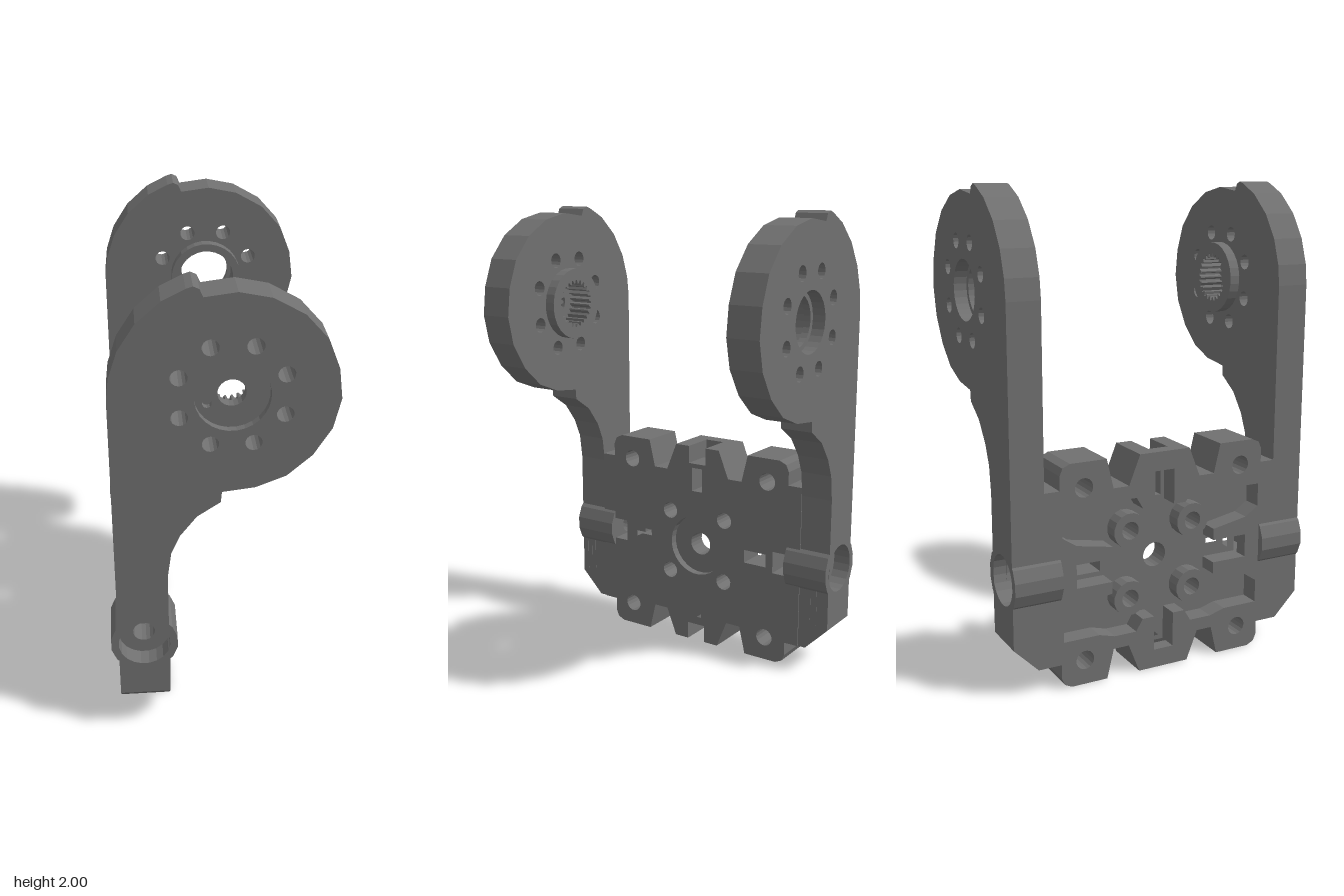
import * as THREE from 'three';

const CY = 0.47;              // height of the plate centre
const HUB = [0.04, 1.58];     // centre of the round arm end
const BORE = [-0.305, CY];    // axis of the side screw bosses

const grey = new THREE.MeshStandardMaterial({ color: 0x707070 });
grey.name = 'dark grey plastic';

const V = (p) => new THREE.Vector2(p[0], p[1]);

function circle([x, y], r, n = 20) {
  return Array.from({ length: n }, (_, i) => {
    const a = ((i + 0.5) / n) * Math.PI * 2;
    return [x + r * Math.cos(a), y + r * Math.sin(a)];
  });
}

// toothed bore of the horn socket
function spline([x, y], r0, r1, teeth) {
  return Array.from({ length: teeth * 4 }, (_, i) => {
    const a = (i / (teeth * 4)) * Math.PI * 2;
    const r = i % 4 < 2 ? r0 : r1;
    return [x + r * Math.cos(a), y + r * Math.sin(a)];
  });
}

const rect = (x0, x1, y0, y1) => [[x0, y0], [x1, y0], [x1, y1], [x0, y1]];

function extrude(outline, holes, depth) {
  const shape = new THREE.Shape(outline.map(V));
  holes.forEach((h) => shape.holes.push(new THREE.Path(h.map(V))));
  return new THREE.ExtrudeGeometry(shape, { depth, bevelEnabled: false });
}

function add(parent, name, geometry) {
  const mesh = new THREE.Mesh(geometry, grey);
  mesh.name = name;
  parent.add(mesh);
}

// slab in the xy plane between distances a and b from the middle, on side s
function slabZ(parent, name, s, a, b, outline, holes = []) {
  add(parent, name, extrude(outline, holes, b - a).translate(0, 0, s > 0 ? a : -b));
}

// slab in the zy plane (first coordinate is -z) between x = a and x = b
function slabX(parent, name, a, b, outline, holes = []) {
  add(parent, name, extrude(outline, holes, b - a).rotateY(Math.PI / 2).translate(a, 0, 0));
}

// one quarter of the plate edge, from the top notch to the side notch
const EDGE = [
  [0.045, 0.47], [0.115, 0.47], [0.165, 0.345], [0.235, 0.345], [0.265, 0.47],
  [0.425, 0.47], [0.457, 0.455], [0.47, 0.425], [0.47, 0.365], [0.535, 0.365], [0.535, 0.05],
];
// inner side of the stiffening rim behind the plate
const RIM = [
  [0.24, 0.05], [0.24, 0.1], [0.4, 0.13], [0.46, 0.17], [0.46, 0.27], [0.3, 0.27],
  [0.23, 0.29], [0.13, 0.29], [0.1, 0.24], [0.045, 0.24],
];
const flip = (pts, sz, sy) => pts.map(([z, y]) => [z * sz, CY + y * sy]);
const QUADS = [[1, 1], [1, -1], [-1, -1], [-1, 1]];

const ARM = [
  [-0.41, 0.21], [-0.205, 0.21], [-0.205, 0.8], [-0.19, 0.91], [-0.155, 0.99], [-0.09, 1.075],
  [0, 1.135], [0.004, 1.18], [0.13, 1.195], [0.245, 1.24], [0.34, 1.325], [0.408, 1.435],
  [0.435, 1.555], [0.42, 1.675], [0.375, 1.79], [0.29, 1.885], [0.175, 1.95], [0.055, 1.975],
  [-0.065, 1.96], [-0.078, 1.99], [-0.1, 2], [-0.125, 1.992], [-0.21, 1.95], [-0.3, 1.87],
  [-0.365, 1.77], [-0.4, 1.665], [-0.41, 1.58],
];

function makePlate() {
  const g = new THREE.Group();
  g.name = 'backPlate';

  // plate outline with screw notches in all four sides
  const quarter = [[0.045, 0.39], ...EDGE, [0.4, 0.05]];
  const outline = QUADS.flatMap(([sz, sy]) => {
    const pts = flip(quarter, sz, sy);
    return sz * sy > 0 ? pts : pts.reverse();
  });
  const holes = [];
  QUADS.forEach(([sz, sy]) => {
    holes.push(circle([0.365 * sz, CY + 0.365 * sy], 0.04, 16));
    holes.push(circle([0.147 * sz, CY + 0.147 * sy], 0.038, 16));
  });
  for (const s of [1, -1]) {
    holes.push(flip(rect(0.255, 0.365, -0.03, 0.03), s, 1));
    holes.push(flip(rect(-0.027, 0.027, 0.26, 0.37), 1, s));
  }
  slabX(g, 'plateCore', -0.325, -0.235, outline, [...holes, circle([0, CY], 0.053)]);
  slabX(g, 'plateFace', -0.235, -0.2, outline, [...holes, circle([0, CY], 0.14, 28)]);

  // rim quarters and screw posts on the ribbed side
  QUADS.forEach(([sz, sy]) => {
    slabX(g, 'rimQuarter', -0.41, -0.325, flip([...EDGE, ...RIM], sz, sy),
      [circle([0.365 * sz, CY + 0.365 * sy], 0.04, 16)]);
    const c = [0.147 * sz, CY + 0.147 * sy];
    slabX(g, 'screwPost', -0.39, -0.325, circle(c, 0.075, 16), [circle(c, 0.038, 16)]);
  });

  // thin walls closing the screw notches
  for (const s of [1, -1]) {
    slabX(g, 'notchWall', -0.41, -0.35, flip(rect(-0.046, 0.046, 0.39, 0.47), 1, s));
    slabX(g, 'notchWall', -0.41, -0.35, flip(rect(0.4, 0.535, -0.051, 0.051), s, 1));
  }
  return g;
}

function makeArm(s) {
  const g = new THREE.Group();
  g.name = s > 0 ? 'frontArm' : 'rearArm';

  const holes = [circle(BORE, 0.105, 20)];
  for (let i = 0; i < 8; i++) {
    const a = ((i + 0.5) * Math.PI) / 4;
    holes.push(circle([HUB[0] + 0.208 * Math.cos(a), HUB[1] + 0.208 * Math.sin(a)], 0.032, 14));
  }

  // layers of the arm, each with its own hub bore: [inner, outer, bores]
  const socket = spline(HUB, 0.105, 0.09, 24);
  const pin = circle([-0.05, 1.54], 0.018, 10);
  const layers = s > 0
    ? [[0.535, 0.6, [socket]], [0.6, 0.62, [circle(HUB, 0.053)]],
      [0.62, 0.645, [circle(HUB, 0.053), pin]], [0.645, 0.675, [circle(HUB, 0.14, 28)]]]
    : [[0.535, 0.59, [circle(HUB, 0.122, 28)]], [0.59, 0.62, [circle(HUB, 0.105, 28)]],
      [0.62, 0.675, [circle(HUB, 0.125, 28)]]];
  layers.forEach(([a, b, bores]) => slabZ(g, 'armLayer', s, a, b, ARM, [...holes, ...bores]));

  // raised ring on the inner face
  slabZ(g, 'hubRing', s, 0.49, 0.535, circle(HUB, 0.155, 28),
    [s > 0 ? socket : circle(HUB, 0.122, 28)]);

  // counterbored screw boss
  slabZ(g, 'screwBoss', s, 0.47, 0.6, circle(BORE, 0.137, 16), [circle(BORE, 0.045, 16)]);
  slabZ(g, 'bossRim', s, 0.6, 0.675, circle(BORE, 0.137, 16), [circle(BORE, 0.105, 20)]);

  // chamfered foot (z is mirrored by the slab helper)
  slabX(g, 'armFoot', -0.41, -0.205,
    [[0.535, 0.105], [0.57, 0.105], [0.675, 0.21], [0.535, 0.21]].map(([z, y]) => [-z * s, y]));
  return g;
}

export function createModel() {
  const model = new THREE.Group();
  model.name = 'bracket';
  model.add(makePlate(), makeArm(1), makeArm(-1));
  return model;
}
